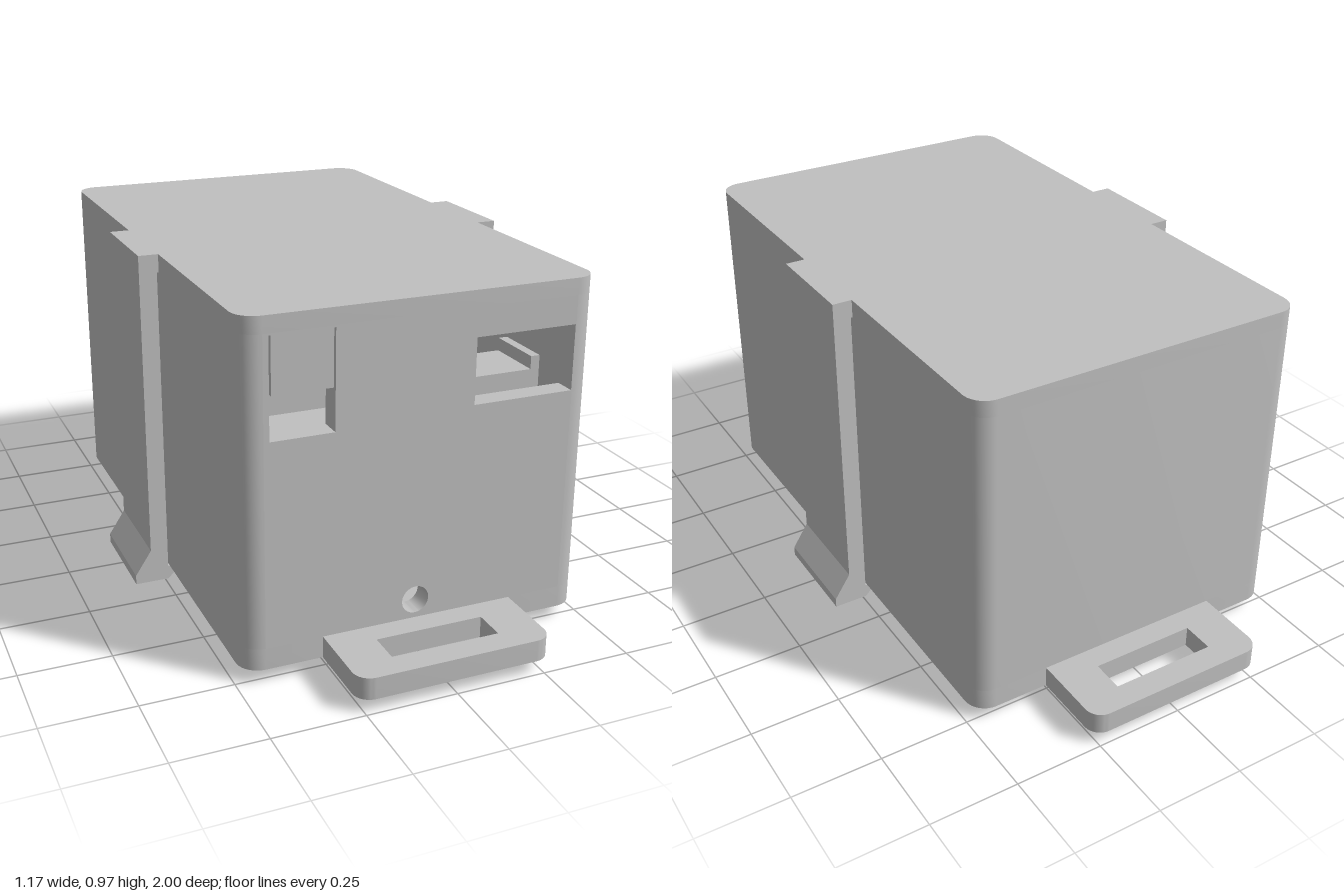
import * as THREE from 'three';
import { toCreasedNormals } from 'three/addons/utils/BufferGeometryUtils.js';

const W = 0.485, D = 0.775, R = 0.06, T = 0.06;   // half width, half depth, corner radius, wall
const LOW = 0.04, FLOOR = 0.1, CEIL = 0.925, TOP = 0.97;

// Outline from corners [x, y, radius]; a radius rounds a right-angled corner
function outline(corners, Type = THREE.Shape) {
  const path = new Type();
  const n = corners.length;
  const toward = (a, b, d) => {
    const l = Math.hypot(b[0] - a[0], b[1] - a[1]);
    return [a[0] + (b[0] - a[0]) * d / l, a[1] + (b[1] - a[1]) * d / l];
  };
  corners.forEach((c, i) => {
    const prev = corners[(i + n - 1) % n], next = corners[(i + 1) % n], r = c[2] || 0;
    const a = toward(c, prev, r), b = toward(c, next, r);
    if (i === 0) path.moveTo(...a); else path.lineTo(...a);
    if (r) path.bezierCurveTo(...toward(c, prev, r * 0.448), ...toward(c, next, r * 0.448), ...b);
  });
  path.closePath();
  return path;
}

const rect = (x0, y0, x1, y1, r = 0, Type = THREE.Shape) =>
  outline([[x0, y0, r], [x1, y0, r], [x1, y1, r], [x0, y1, r]], Type);

export function createModel() {
  const model = new THREE.Group();
  model.name = 'enclosure';
  const plastic = new THREE.MeshStandardMaterial({ color: 0xc0c0c0 });
  plastic.name = 'grey plastic';

  function add(name, geometry) {
    const mesh = new THREE.Mesh(geometry, plastic);
    mesh.name = name;
    model.add(mesh);
    return mesh;
  }
  const extrude = (shape, depth) => toCreasedNormals(
    new THREE.ExtrudeGeometry(shape, { depth, bevelEnabled: false, curveSegments: 10 }), 0.5);
  // Plan outline raised from y0 to y1 (shape y is -z)
  const raise = (shape, y0, y1) => extrude(shape, y1 - y0).rotateX(-Math.PI / 2).translate(0, y0, 0);
  // Front outline extruded from z0 to z1
  const across = (shape, z0, z1) => extrude(shape, z1 - z0).translate(0, 0, z0);

  // Base plate with a slotted mounting tab at each end
  const t = 0.27, r = 0.045;
  const base = outline([
    [-W, -D, R], [-t, -D], [-t, -1, r], [t, -1, r], [t, -D], [W, -D, R],
    [W, D, R], [t, D], [t, 1, r], [-t, 1, r], [-t, D], [-W, D, R],
  ]);
  for (const z of [-0.885, 0.885]) base.holes.push(rect(-0.15, z - 0.045, 0.15, z + 0.045, 0, THREE.Path));
  add('basePlate', raise(base, LOW, FLOOR));

  // Side and back walls, open at the front
  const ix = W - T, iz = D - T;
  add('sideAndBackWalls', raise(outline([
    [W, -D, R], [W, D, R], [-W, D, R], [-W, -D, R],
    [-ix, -D], [-ix, iz], [ix, iz], [ix, -D],
  ]), FLOOR, CEIL));

  // Front wall with latch window, connector window and cable hole
  const front = rect(-ix, FLOOR, ix, CEIL);
  front.holes.push(outline([
    [-0.41, 0.655], [-0.24, 0.655], [-0.24, 0.92], [-0.245, 0.92],
    [-0.245, 0.77], [-0.405, 0.77], [-0.405, 0.92], [-0.41, 0.92],
  ], THREE.Path));
  front.holes.push(rect(0.14, 0.67, 0.425 - 0.002, 0.848, 0, THREE.Path));
  const cable = new THREE.Path();
  cable.absarc(-0.01, 0.152, 0.038, 0, Math.PI * 2, true);
  front.holes.push(cable);
  add('frontWall', across(front, iz, D));

  // Lid
  add('lid', raise(rect(-W, -D, W, D, R), CEIL, TOP));

  // Inner ceiling and connector bracket behind the window
  add('innerCeiling', across(rect(-ix, 0.832, ix, CEIL), -iz, iz));
  add('connectorBracket', across(outline([
    [0.14, 0.66], [0.36, 0.66], [0.36, 0.755], [0.335, 0.755], [0.335, 0.72], [0.14, 0.72],
  ]), 0.55, iz));
  add('connectorPost', across(rect(0.14, 0.745, 0.175, 0.832), 0.64, iz - 0.02));

  // Spring clips hanging from the lid on both sides, with flared feet
  for (const [side, name] of [[1, 'leftClip'], [-1, 'rightClip']]) {
    const clip = outline([
      [0.48, TOP], [0.48, 0.92], [0.49, 0.92], [0.49, 0.04], [0.46, 0.037], [0.46, 0.03],
      [0.49, 0], [0.587, 0], [0.587, 0.027], [0.54, 0.098], [0.54, TOP],
    ]);
    const geometry = across(clip, -0.147, 0.147);
    if (side < 0) geometry.rotateY(Math.PI);
    add(name, geometry);
  }
  return model;
}
